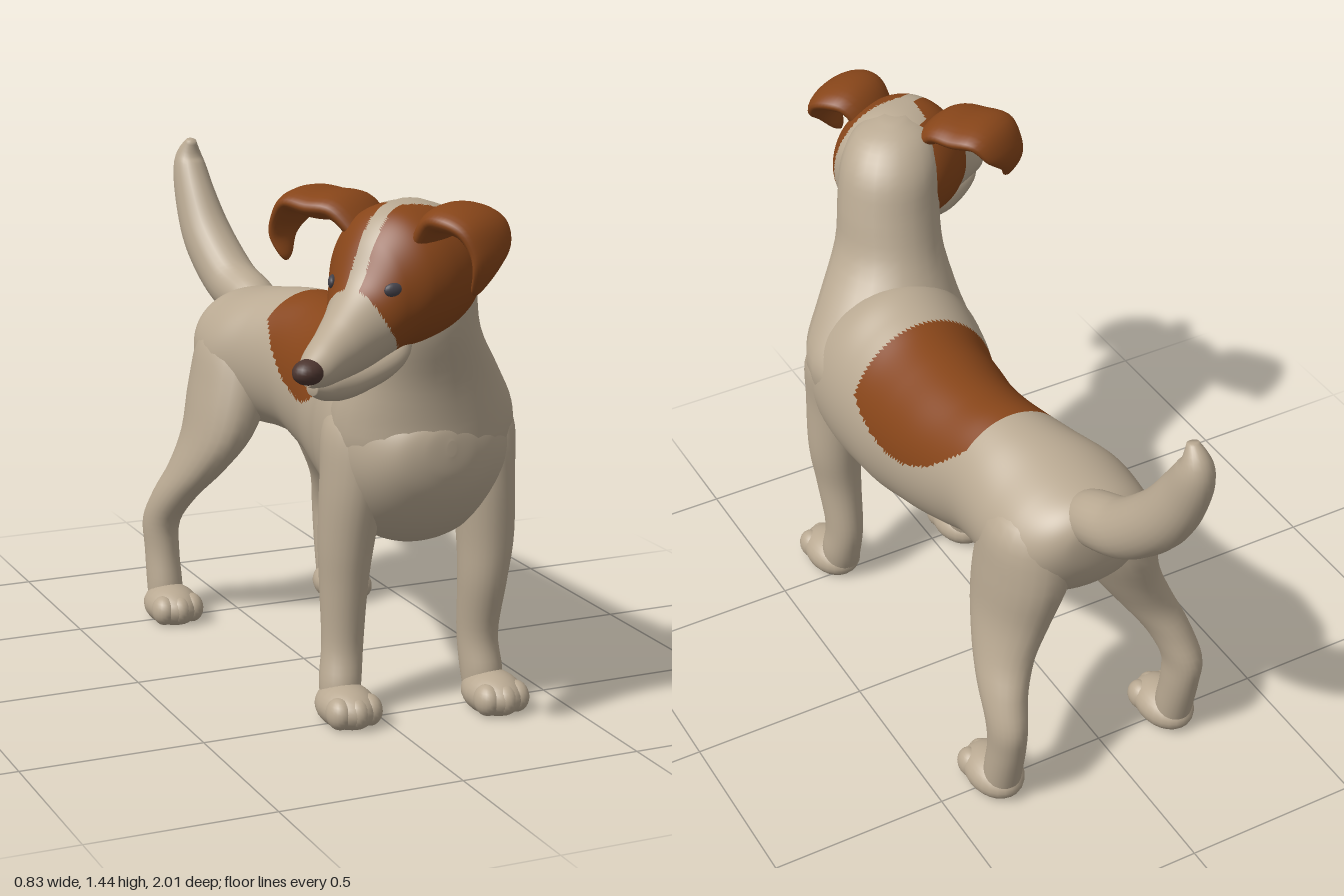
import * as THREE from 'three';

const mat = (name, color) => {
  const m = new THREE.MeshStandardMaterial({ color });
  m.name = name;
  return m;
};
const X = new THREE.Vector3(1, 0, 0);
const Y = new THREE.Vector3(0, 1, 0);
const Z = new THREE.Vector3(0, 0, 1);

// Smooth interpolation through rows of numbers
function sample(rows, t) {
  const n = rows.length - 1;
  const i = Math.min(Math.floor(t * n), n - 1);
  const f = t * n - i;
  const at = k => rows[Math.max(0, Math.min(n, k))];
  return rows[i].map((p, k) => {
    const q = at(i + 1)[k];
    const m0 = (q - at(i - 1)[k]) / 2;
    const m1 = (at(i + 2)[k] - p) / 2;
    return p + f * m0 + f * f * (3 * (q - p) - 2 * m0 - m1) + f * f * f * (2 * (p - q) + m0 + m1);
  });
}

// Closed loft: rows are [x, y, z, radiusU, radiusV]; without v the rings follow the path
function loft(rows, u, v, steps = 36, sides = 24) {
  const pos = [], idx = [];
  const centre = t => new THREE.Vector3(...sample(rows, t).slice(0, 3));
  for (let i = 0; i <= steps; i++) {
    const t = i / steps;
    const r = sample(rows, t);
    const c = centre(t);
    const w = v || centre(Math.min(1, t + 0.01)).sub(centre(Math.max(0, t - 0.01))).cross(u).normalize();
    for (let j = 0; j < sides; j++) {
      const a = (j / sides) * Math.PI * 2;
      const p = c.clone()
        .addScaledVector(u, Math.cos(a) * Math.max(r[3], 0.002))
        .addScaledVector(w, Math.sin(a) * Math.max(r[4], 0.002));
      pos.push(p.x, p.y, p.z);
    }
  }
  pos.push(...rows[0].slice(0, 3), ...rows[rows.length - 1].slice(0, 3));
  const flip = v && u.clone().cross(v).dot(centre(1).sub(centre(0))) < 0;
  const tri = (a, b, c) => (flip ? idx.push(a, c, b) : idx.push(a, b, c));
  const first = (steps + 1) * sides;
  for (let j = 0; j < sides; j++) {
    const k = (j + 1) % sides;
    for (let i = 0; i < steps; i++) {
      const a = i * sides + j, b = i * sides + k;
      tri(a, b, a + sides);
      tri(b, b + sides, a + sides);
    }
    tri(first, k, j);
    tri(first + 1, steps * sides + j, steps * sides + k);
  }
  const g = new THREE.BufferGeometry();
  g.setAttribute('position', new THREE.Float32BufferAttribute(pos, 3));
  g.setIndex(idx);
  g.computeVertexNormals();
  return g;
}

// Sorts faces into two material groups by the position of their centre
function paint(g, isPatch) {
  const p = g.attributes.position, idx = g.index.array, sets = [[], []];
  for (let i = 0; i < idx.length; i += 3) {
    const f = [idx[i], idx[i + 1], idx[i + 2]];
    const mean = axis => f.reduce((s, k) => s + p[axis](k), 0) / 3;
    sets[isPatch(mean('getX'), mean('getY'), mean('getZ')) ? 1 : 0].push(...f);
  }
  g.setIndex([...sets[0], ...sets[1]]);
  g.addGroup(0, sets[0].length, 0);
  g.addGroup(sets[0].length, sets[1].length, 1);
  return g;
}

export function createModel() {
  const dog = new THREE.Group();
  dog.name = 'dog';
  const coat = mat('paleCoat', 0xb9a992);
  const brown = mat('brownPatch', 0x874519);
  const noseMat = mat('darkNose', 0x4c352f);
  const eyeMat = mat('darkEye', 0x44424a);

  const add = (parent, name, geometry, material) => {
    const m = new THREE.Mesh(geometry, material);
    m.name = name;
    parent.add(m);
    return m;
  };
  const ball = (parent, name, material, p, s) => {
    const m = add(parent, name, new THREE.SphereGeometry(1, 20, 14), material);
    m.position.set(...p);
    m.scale.set(...s);
    return m;
  };

  // Trunk: [z, centre x, top, bottom, half width]
  const trunk = [
    [-0.64, 0.075, 0.9, 0.84, 0.03], [-0.625, 0.075, 0.94, 0.76, 0.12], [-0.58, 0.08, 0.97, 0.68, 0.18],
    [-0.5, 0.09, 0.985, 0.62, 0.215], [-0.4, 0.095, 1.0, 0.6, 0.22], [-0.3, 0.118, 1.015, 0.6, 0.198],
    [-0.2, 0.135, 1.02, 0.59, 0.182], [-0.1, 0.147, 1.01, 0.56, 0.187], [0, 0.155, 1.005, 0.53, 0.197],
    [0.1, 0.153, 1.005, 0.5, 0.21], [0.2, 0.15, 1.01, 0.47, 0.222], [0.3, 0.14, 1.03, 0.455, 0.24],
    [0.4, 0.135, 1.045, 0.45, 0.25], [0.5, 0.135, 1.0, 0.48, 0.24], [0.58, 0.132, 0.93, 0.54, 0.205],
    [0.64, 0.125, 0.87, 0.62, 0.145], [0.668, 0.12, 0.83, 0.69, 0.075], [0.676, 0.12, 0.79, 0.75, 0.012],
  ].map(([z, x, top, low, w]) => [x, (top + low) / 2, z, w, (top - low) / 2]);
  const saddle = (x, y, z) => z > -0.235 && z < 0.25 && y > 0.78 + 2 * (z - 0.06) ** 2;
  add(dog, 'trunk', paint(loft(trunk, X, Y, 150, 110), saddle), [coat, brown]);

  // Neck
  add(dog, 'neck', loft([
    [0.13, 0.58, 0.45, 0.13, 0.12], [0.135, 0.66, 0.45, 0.21, 0.185], [0.135, 0.75, 0.455, 0.245, 0.212],
    [0.135, 0.84, 0.465, 0.245, 0.212], [0.114, 0.95, 0.51, 0.2, 0.187], [0.075, 1.08, 0.575, 0.15, 0.165],
    [0.058, 1.2, 0.605, 0.142, 0.148], [0.035, 1.31, 0.63, 0.138, 0.138], [0.012, 1.385, 0.655, 0.105, 0.1],
    [0, 1.42, 0.665, 0.03, 0.03],
  ], X, Z), coat);

  // Tail
  add(dog, 'tail', loft([
    [0.1, 0.89, -0.53, 0.06, 0.06], [0.095, 0.92, -0.6, 0.075, 0.075], [0.075, 0.965, -0.72, 0.08, 0.08],
    [0.05, 1.075, -0.84, 0.075, 0.08], [0.035, 1.2, -0.915, 0.06, 0.07], [0.03, 1.3, -0.95, 0.045, 0.05],
    [0.03, 1.365, -0.93, 0.015, 0.015],
  ], X), coat);

  // Paw with flat sole and three shallow toes
  const paw = (parent, x, z) => {
    const g = new THREE.SphereGeometry(1, 24, 16);
    const p = g.attributes.position;
    for (let i = 0; i < p.count; i++) p.setY(i, Math.max(p.getY(i), -0.72));
    g.computeVertexNormals();
    const m = add(parent, 'paw', g, coat);
    m.position.set(x, 0.047, z);
    m.scale.set(0.078, 0.06, 0.108);
    for (const k of [-1, 0, 1]) {
      ball(parent, 'toe', coat, [x + k * 0.043, 0.047, z + 0.066 - Math.abs(k) * 0.014], [0.035, 0.043, 0.044]);
    }
  };
  const leg = (name, rows, x, z) => {
    const g = new THREE.Group();
    g.name = name;
    add(g, 'limb', loft(rows, X, Z), coat);
    paw(g, x, z);
    dog.add(g);
  };

  // Front legs
  leg('leftFrontLeg', [
    [0.27, 0.9, 0.47, 0.05, 0.06], [0.28, 0.8, 0.485, 0.1, 0.115], [0.295, 0.65, 0.505, 0.083, 0.105],
    [0.305, 0.48, 0.51, 0.075, 0.087], [0.3, 0.35, 0.508, 0.064, 0.075], [0.3, 0.2, 0.485, 0.054, 0.064],
    [0.305, 0.1, 0.5, 0.056, 0.064], [0.305, 0.03, 0.51, 0.05, 0.05],
  ], 0.31, 0.56);
  leg('rightFrontLeg', [
    [0.01, 0.9, 0.43, 0.05, 0.06], [-0.02, 0.8, 0.43, 0.1, 0.115], [-0.05, 0.65, 0.44, 0.085, 0.105],
    [-0.065, 0.48, 0.43, 0.073, 0.086], [-0.07, 0.35, 0.425, 0.063, 0.072], [-0.075, 0.2, 0.43, 0.056, 0.058],
    [-0.09, 0.1, 0.45, 0.056, 0.06], [-0.095, 0.03, 0.46, 0.05, 0.05],
  ], -0.095, 0.5);

  // Hind legs, mirrored; the right thigh sits closer to the middle
  const hind = [
    [0.17, 0.95, -0.46, 0.05, 0.07], [0.19, 0.86, -0.455, 0.12, 0.14], [0.215, 0.72, -0.445, 0.115, 0.165],
    [0.245, 0.58, -0.435, 0.095, 0.15], [0.285, 0.47, -0.465, 0.077, 0.115], [0.32, 0.38, -0.52, 0.062, 0.09],
    [0.335, 0.29, -0.57, 0.053, 0.072], [0.335, 0.2, -0.57, 0.05, 0.062], [0.335, 0.1, -0.55, 0.052, 0.058],
    [0.335, 0.03, -0.54, 0.05, 0.05],
  ];
  leg('leftHindLeg', hind, 0.335, -0.495);
  leg('rightHindLeg', hind.map(([x, y, ...r]) => [0.12 - x + 0.13 * Math.max(0, y - 0.3), y, ...r]), -0.215, -0.495);

  // Head, turned to its right, with a brown mask either side of a pale blaze
  const head = new THREE.Group();
  head.name = 'head';
  head.position.set(-0.03, 1.25, 0.7);
  head.rotation.y = -Math.PI / 3;
  dog.add(head);
  const skull = [
    [0, -0.01, -0.17, 0.05, 0.06], [0, -0.01, -0.14, 0.132, 0.125], [0, 0.0, -0.06, 0.175, 0.167],
    [0, -0.003, 0.03, 0.178, 0.178], [0, -0.012, 0.1, 0.157, 0.17], [0, -0.05, 0.16, 0.12, 0.15],
    [0, -0.11, 0.22, 0.086, 0.108], [0, -0.153, 0.3, 0.063, 0.076], [0, -0.18, 0.37, 0.048, 0.052],
    [0, -0.19, 0.41, 0.026, 0.03],
  ];
  const blaze = (x, z) => Math.max(0.022, x > 0 ? 0.05 - 0.57 * z : Math.min(0.09, 0.1 - 1.74 * z));
  const mask = (x, y, z) => ((z - 0.03) / 0.2) ** 2 + (y / 0.2) ** 2 < 1 && Math.abs(x) > blaze(x, z);
  add(head, 'skull', paint(loft(skull, X, Y, 130, 100), mask), [coat, brown]);
  add(head, 'jaw', loft([
    [0, -0.16, 0.02, 0.04, 0.03], [0, -0.185, 0.08, 0.07, 0.048], [0, -0.212, 0.15, 0.07, 0.048],
    [0, -0.235, 0.26, 0.05, 0.043], [0, -0.235, 0.34, 0.036, 0.033], [0, -0.228, 0.39, 0.016, 0.018],
  ], X, Y), coat);
  ball(head, 'nose', noseMat, [0, -0.186, 0.4], [0.038, 0.032, 0.048]);

  // Eyes and folded ears; the right ear spreads further out
  for (const [s, spread, lift] of [[1, 0.96, 0], [-1, 1.3, 0.025]]) {
    const eye = ball(head, 'eye', eyeMat, [s * 0.091, -0.012, 0.18], [0.012, 0.018, 0.026]);
    eye.rotation.y = -s * 0.5;
    add(head, 'ear', loft([
      [0.09, 0.08, 0.03, 0.08, 0.03], [0.14, 0.145, 0.03, 0.1, 0.036],
      [0.195, 0.152, 0.032, 0.11, 0.037], [0.25, 0.132, 0.032, 0.104, 0.032],
      [0.28, 0.085, 0.04, 0.085, 0.024], [0.285, 0.04, 0.065, 0.055, 0.016],
      [0.27, -0.005, 0.08, 0.025, 0.01], [0.265, -0.02, 0.085, 0.005, 0.004],
    ].map(([x, y, ...r]) => [s * (0.14 + (x - 0.14) * spread), y + (x > 0.2 ? lift : 0), ...r]), Z), brown);
  }
  return dog;
}
